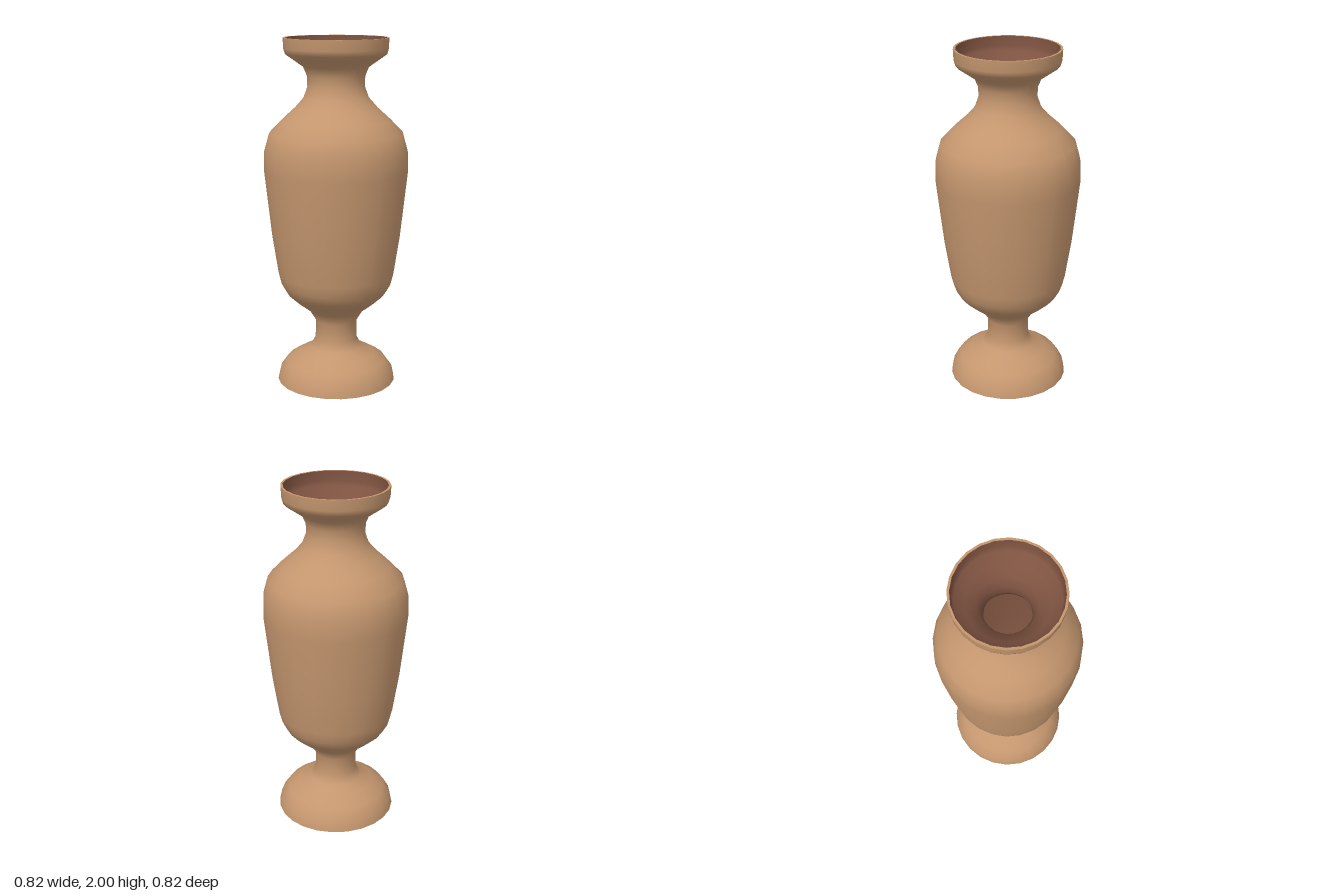
import * as THREE from 'three';

const SIDES = 24;

const clay = new THREE.MeshStandardMaterial({ color: 0xc4966e });
clay.name = 'clay';
const innerBrown = new THREE.MeshStandardMaterial({ color: 0x7d5240 });
innerBrown.name = 'inner brown';
const olive = new THREE.MeshStandardMaterial({ color: 0x786649 });
olive.name = 'olive';

// Profiles are [radius, height]; rising ones face outward, falling ones inward
function turned(name, profile, material) {
  const points = profile.map(([r, y]) => new THREE.Vector2(r, y));
  const mesh = new THREE.Mesh(new THREE.LatheGeometry(points, SIDES), material);
  mesh.name = name;
  return mesh;
}

function disc(name, radius, y, facing) {
  const geometry = new THREE.CircleGeometry(radius, SIDES);
  geometry.rotateX(-facing * Math.PI / 2);
  const mesh = new THREE.Mesh(geometry, olive);
  mesh.name = name;
  mesh.position.y = y;
  return mesh;
}

export function createModel() {
  const vase = new THREE.Group();
  vase.name = 'vase';

  // Outer shell: foot, stem, body, neck and flared lip
  vase.add(turned('outerShell', [
    [0.345, 0], [0.332, 0.06], [0.29, 0.12], [0.22, 0.163], [0.15, 0.2],
    [0.122, 0.25], [0.12, 0.36], [0.16, 0.425], [0.225, 0.475], [0.286, 0.53],
    [0.318, 0.585], [0.335, 0.65], [0.37, 0.88], [0.41, 1.25], [0.408, 1.37],
    [0.38, 1.47], [0.307, 1.545], [0.235, 1.61], [0.185, 1.667], [0.162, 1.73],
    [0.164, 1.79], [0.185, 1.84], [0.235, 1.875], [0.285, 1.91], [0.294, 1.94],
    [0.297, 2],
  ], clay));

  // Thin flat edges at mouth and foot
  vase.add(turned('mouthEdge', [[0.297, 2], [0.284, 2]], clay));
  vase.add(turned('footEdge', [[0.315, 0], [0.345, 0]], clay));

  // Lining of the mouth, neck and body
  vase.add(turned('lining', [
    [0.284, 2], [0.281, 1.945], [0.268, 1.92], [0.215, 1.885], [0.155, 1.85],
    [0.13, 1.79], [0.125, 1.73], [0.15, 1.65], [0.28, 1.525], [0.35, 1.455],
    [0.378, 1.37], [0.38, 1.25], [0.34, 0.88], [0.305, 0.65], [0.255, 0.55],
  ], innerBrown));
  vase.add(disc('floor', 0.255, 0.55, 1));

  // Hollow under the foot
  vase.add(turned('footHollow', [[0.25, 0.1], [0.3, 0.06], [0.315, 0]], innerBrown));
  vase.children[vase.children.length - 1].material = innerBrown;
  vase.children[vase.children.length - 1].geometry = new THREE.LatheGeometry(
    [[0.25, 0.1], [0.3, 0.06], [0.315, 0]].map(([r, y]) => new THREE.Vector2(r, y)), SIDES);
  vase.add(disc('footCap', 0.25, 0.1, -1));

  return vase;
}
